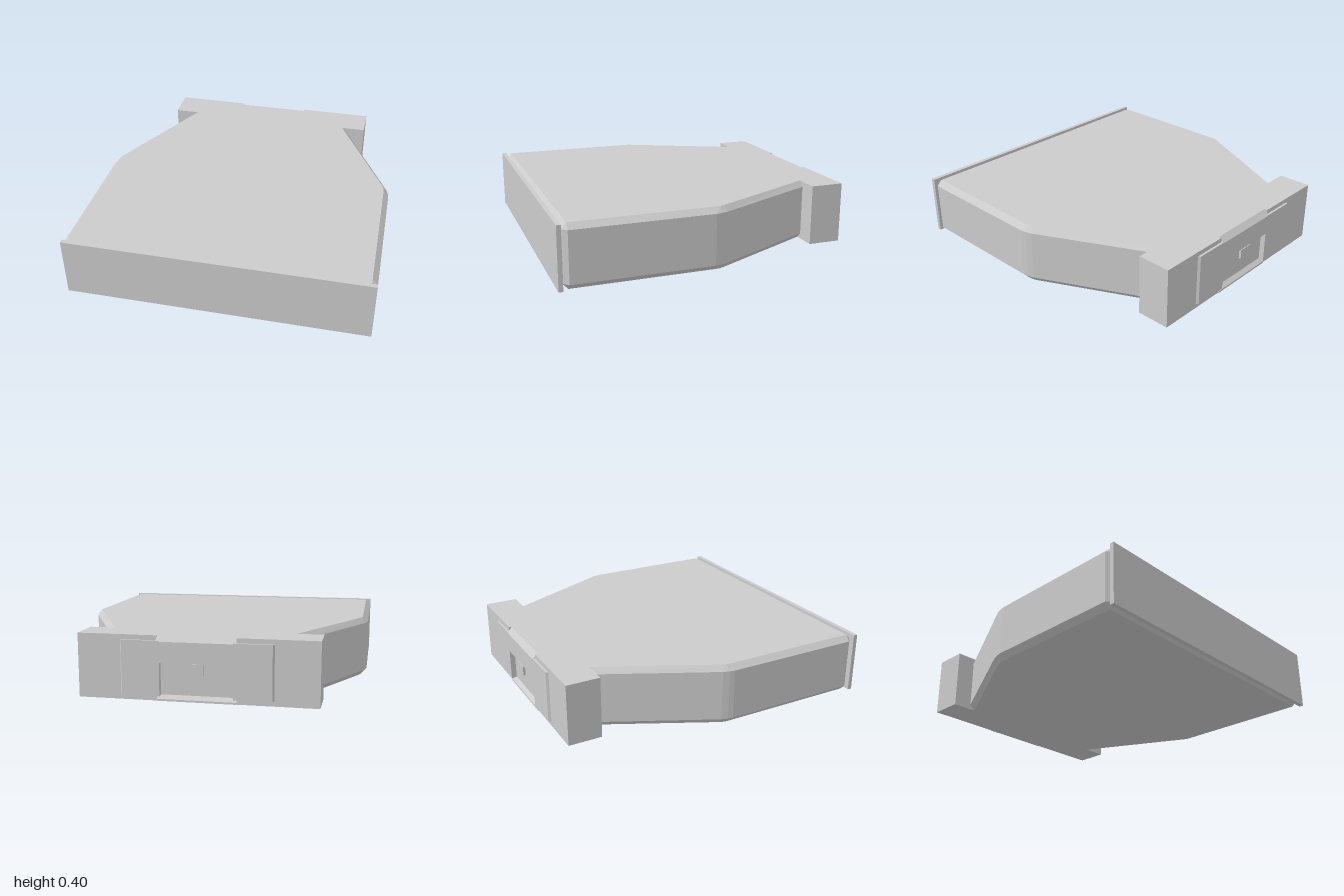
import * as THREE from 'three';

export function createModel() {
  const group = new THREE.Group();
  const mat = new THREE.MeshStandardMaterial({ color: 0xcccccc, flatShading: true });

  const add = (name, geo) => {
    const mesh = new THREE.Mesh(geo, mat);
    mesh.name = name;
    group.add(mesh);
    return mesh;
  };
  // Box given by its limits on each axis
  const box = (name, x0, x1, y0, y1, z0, z1) =>
    add(name, new THREE.BoxGeometry(x1 - x0, y1 - y0, z1 - z0)
      .translate((x0 + x1) / 2, (y0 + y1) / 2, (z0 + z1) / 2));
  const extrude = (pts, depth) => new THREE.ExtrudeGeometry(
    new THREE.Shape(pts.map(p => new THREE.Vector2(...p))), { depth, bevelEnabled: false });
  // [z, y] profile swept across x, centred
  const sweepX = (name, pts, width) =>
    add(name, extrude(pts, width).translate(0, 0, -width / 2).rotateY(-Math.PI / 2));

  // Body: chamfered loops stacked in y, closed by fans
  const mirror = half => [...half, ...half.map(([x, z]) => [-x, z]).reverse()];
  const outer = mirror([[0.945, 0.97], [0.98, 0.935], [0.98, 0.03], [0.974, -0.005], [0.962, -0.045], [0.61, -0.76]]);
  const inner = mirror([[0.945, 0.935], [0.945, 0.935], [0.945, 0.02], [0.943, -0.01], [0.932, -0.04], [0.575, -0.76]]);
  const loops = [[inner, 0], [outer, 0.036], [outer, 0.364], [inner, 0.4]]
    .map(([loop, y]) => loop.map(([x, z]) => [x, y, z]));
  const pos = [];
  const tri = (...corners) => corners.forEach(c => pos.push(...c));
  const n = outer.length;
  for (let k = 0; k < 3; k++) {
    for (let i = 0; i < n; i++) {
      const j = (i + 1) % n, lo = loops[k], hi = loops[k + 1];
      tri(lo[i], lo[j], hi[j]);
      tri(lo[i], hi[j], hi[i]);
    }
  }
  for (let i = 1; i < n - 1; i++) {
    tri(loops[3][0], loops[3][i], loops[3][i + 1]);
    tri(loops[0][0], loops[0][i + 1], loops[0][i]);
  }
  const bodyGeo = new THREE.BufferGeometry();
  bodyGeo.setAttribute('position', new THREE.Float32BufferAttribute(pos, 3));
  bodyGeo.computeVertexNormals();
  add('body', bodyGeo);

  // Front panel
  box('frontPanel', -0.98, 0.98, 0, 0.4, 0.972, 1);

  // Rear head, with its back layer left open in the middle
  box('head', -0.74, 0.74, 0, 0.4, -0.96, -0.76);
  for (const s of [-1, 1]) {
    const x0 = s < 0 ? -0.74 : 0.245, x1 = s < 0 ? -0.245 : 0.74;
    box('headBack', x0, x1, 0, 0.4, -0.98, -0.96);

    // Raised rear plate with a slanted outer edge
    const pts = [[0.225, 0.98], [0.47, 0.98], [0.46, 0.995], [0.225, 0.995]].map(([x, z]) => [s * x, z]);
    add('rearPlate', extrude(pts, 0.34).rotateX(-Math.PI / 2).translate(0, 0.03, 0));
    box('slotJamb', s < 0 ? -0.245 : 0.225, s < 0 ? -0.225 : 0.245, 0.03, 0.364, -0.99, -0.96);
  }

  // Middle of the rear plate: sloping top above the slot, sloping sill below
  sweepX('slotHeader', [[-0.96, 0.4], [-0.995, 0.365], [-0.995, 0.235], [-0.96, 0.235]], 0.49);
  sweepX('slotSill', [[-0.96, 0.035], [-0.985, 0.012], [-0.985, 0], [-0.96, 0]], 0.49);

  // Small catch on the slot's upper edge
  box('catch', -0.05, 0.05, 0.17, 0.235, -1, -0.985);

  return group;
}
